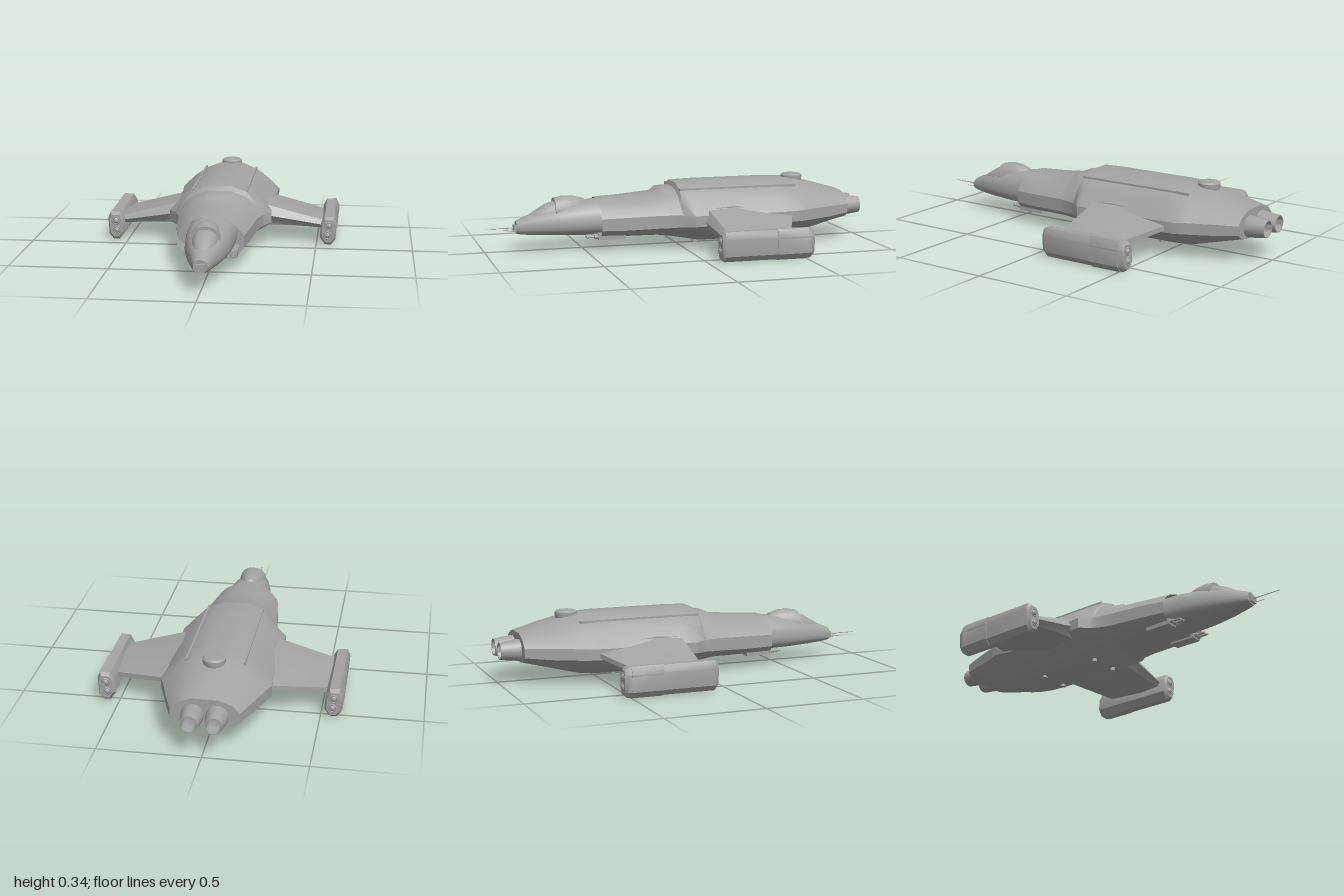
import * as THREE from 'three';
import { toCreasedNormals } from 'three/addons/utils/BufferGeometryUtils.js';

const hullGrey = new THREE.MeshStandardMaterial({ color: 0xa3a3a3, side: THREE.DoubleSide });
hullGrey.name = 'hull grey';

// Skin a list of equal-length rings of [x, y, z]; the ends may be capped
function loft(rings, { capStart = true, capEnd = true, crease = 0.6 } = {}) {
  const n = rings[0].length, pos = rings.flat(2), index = [];
  for (let i = 0; i < rings.length - 1; i++) {
    for (let j = 0; j < n; j++) {
      const a = i * n + j, b = i * n + (j + 1) % n;
      index.push(a, a + n, b, b, a + n, b + n);
    }
  }
  const last = (rings.length - 1) * n;
  for (let j = 1; j < n - 1; j++) {
    if (capStart) index.push(0, j, j + 1);
    if (capEnd) index.push(last, last + j + 1, last + j);
  }
  const g = new THREE.BufferGeometry();
  g.setAttribute('position', new THREE.Float32BufferAttribute(pos, 3));
  g.setIndex(index);
  return toCreasedNormals(g, crease);
}

// Mirror across x, keeping faces outward
function mirrored(geo) {
  const g = geo.index ? geo.toNonIndexed() : geo.clone();
  for (const name of ['position', 'normal']) {
    const a = g.attributes[name];
    for (let i = 0; i < a.count; i += 3) {
      const v = [0, 2, 1].map(k => [-a.getX(i + k), a.getY(i + k), a.getZ(i + k)]);
      v.forEach((p, k) => a.setXYZ(i + k, ...p));
    }
  }
  return g;
}

// Ellipse ring at z, flattened at the bottom by its own half height
function oval(z, hw, mid, up, down, n = 24) {
  return Array.from({ length: n }, (_, k) => {
    const t = k / n * Math.PI * 2, s = Math.sin(t), c = Math.cos(t);
    const x = Math.sign(c) * Math.abs(c) ** 0.85, y = Math.sign(s) * Math.abs(s) ** 0.85;
    return [hw * x, mid + (s > 0 ? up : down) * y, z];
  });
}

// Faceted hull ring from half-section points, bottom to top
function hullRing([z, hw, yTop, topX, shX, shY, sideTop, sideBot, bellyX, yBot]) {
  const half = [[bellyX, yBot], [(bellyX + hw) / 2 + 0.01, (yBot + sideBot) / 2 - 0.005],
    [hw, sideBot], [hw, sideTop], [(hw + shX) / 2, (sideTop + shY) / 2 + 0.008], [shX, shY], [topX, yTop]];
  return [...half.map(([x, y]) => [x, y, z]), ...half.reverse().map(([x, y]) => [-x, y, z])];
}

export function createModel() {
  const model = new THREE.Group();
  const add = (name, geo) => {
    const m = new THREE.Mesh(geo, hullGrey);
    m.name = name;
    model.add(m);
  };
  const pair = (name, geo) => {
    add(name + 'Left', geo);
    add(name + 'Right', mirrored(geo));
  };
  const rod = (x, y, z0, z1, r0, r1 = r0, sides = 16, open = false) =>
    new THREE.CylinderGeometry(r0, r1, z0 - z1, sides, 1, open).rotateX(Math.PI / 2).translate(x, y, (z0 + z1) / 2);
  const box = (w, h, d, x, y, z) => new THREE.BoxGeometry(w, h, d).translate(x, y, z);

  // Main hull, open at the front where the intakes sit
  add('hull', loft([
    [0.43, 0.165, 0.255, 0.05, 0.10, 0.235, 0.17, 0.11, 0.10, 0.068],
    [0.30, 0.185, 0.262, 0.05, 0.115, 0.24, 0.175, 0.11, 0.10, 0.068],
    [0.13, 0.20, 0.275, 0.06, 0.125, 0.25, 0.18, 0.115, 0.10, 0.066],
    [0.10, 0.205, 0.298, 0.06, 0.13, 0.262, 0.18, 0.115, 0.10, 0.063],
    [0.03, 0.225, 0.302, 0.06, 0.135, 0.275, 0.18, 0.12, 0.10, 0.052],
    [0.02, 0.23, 0.326, 0.06, 0.14, 0.298, 0.18, 0.12, 0.10, 0.05],
    [-0.03, 0.268, 0.328, 0.06, 0.14, 0.30, 0.18, 0.125, 0.095, 0.04],
    [-0.10, 0.262, 0.33, 0.06, 0.14, 0.30, 0.18, 0.125, 0.09, 0.026],
    [-0.50, 0.262, 0.33, 0.06, 0.14, 0.30, 0.18, 0.125, 0.09, 0.026],
    [-0.60, 0.27, 0.326, 0.06, 0.14, 0.295, 0.185, 0.13, 0.09, 0.034],
    [-0.65, 0.25, 0.316, 0.06, 0.135, 0.285, 0.187, 0.13, 0.09, 0.046],
    [-0.78, 0.208, 0.284, 0.06, 0.12, 0.26, 0.19, 0.135, 0.09, 0.08],
    [-0.90, 0.165, 0.25, 0.06, 0.105, 0.236, 0.19, 0.145, 0.085, 0.11],
  ].map(hullRing), { capStart: false }));
  // Wall at the back of the intakes
  add('intakeWall', loft([0.30, 0.28].map(z =>
    hullRing([z, 0.18, 0.258, 0.05, 0.11, 0.236, 0.173, 0.112, 0.098, 0.072]))));

  // Nose
  add('nose', loft([
    oval(0.84, 0.034, 0.12, 0.035, 0.028),
    oval(0.82, 0.042, 0.12, 0.045, 0.033),
    oval(0.77, 0.058, 0.125, 0.06, 0.043),
    oval(0.70, 0.082, 0.13, 0.076, 0.052),
    oval(0.58, 0.108, 0.135, 0.1, 0.062),
    oval(0.45, 0.12, 0.14, 0.112, 0.07),
    oval(0.25, 0.122, 0.14, 0.115, 0.07),
  ]));
  add('noseTip', box(0.048, 0.035, 0.02, 0, 0.118, 0.842));
  // Cockpit glass and the hood behind it
  add('canopy', loft([
    oval(0.78, 0.018, 0.16, 0.02, 0.02),
    oval(0.74, 0.044, 0.165, 0.04, 0.02),
    oval(0.69, 0.06, 0.17, 0.064, 0.02),
    oval(0.63, 0.066, 0.175, 0.08, 0.02),
    oval(0.58, 0.066, 0.18, 0.08, 0.02),
  ]));
  add('canopyHood', loft([
    oval(0.645, 0.074, 0.18, 0.085, 0.02),
    oval(0.60, 0.072, 0.18, 0.094, 0.02),
    oval(0.54, 0.06, 0.18, 0.091, 0.02),
    oval(0.49, 0.042, 0.18, 0.078, 0.02),
    oval(0.475, 0.025, 0.18, 0.06, 0.02),
  ]));
  // Probes on the nose
  add('probeMiddle', rod(0, 0.12, 1, 0.84, 0.0015, 0.003, 6));
  pair('probe', rod(0.018, 0.108, 0.9, 0.84, 0.0015, 0.002, 6));

  // Twin guns under each cheek
  pair('gunHousing', box(0.06, 0.032, 0.14, 0.102, 0.075, 0.37));
  for (const x of [0.09, 0.116]) {
    pair('gunBarrel', rod(x, 0.075, 0.5, 0.42, 0.006, 0.006, 10));
    pair('gunCollar', rod(x, 0.075, 0.46, 0.42, 0.011, 0.011, 10));
  }

  // Wings, thinning and drooping to the pods
  const wingRing = (x, front, back, top, bottom) => {
    const mid = (top + bottom) / 2, d = front - back;
    return [[x, mid, front], [x, top - 0.006, front - 0.06 * d], [x, top, front - 0.35 * d],
      [x, mid + 0.012, back], [x, mid - 0.012, back], [x, bottom, front - 0.4 * d], [x, bottom + 0.008, front - 0.06 * d]];
  };
  pair('wing', loft([
    wingRing(0.20, -0.075, -0.575, 0.222, 0.088),
    wingRing(0.26, -0.08, -0.55, 0.203, 0.095),
    wingRing(0.54, -0.105, -0.435, 0.128, 0.074),
  ], { crease: 0.5 }));
  // Raised root plates
  pair('wingRoot', loft([
    wingRing(0.215, -0.06, -0.55, 0.225, 0.15),
    wingRing(0.235, -0.09, -0.52, 0.216, 0.15),
  ]));

  // Wingtip pods, octagonal with bevelled ends
  const outline = [[0.545, 0.004], [0.578, 0.004], [0.601, 0.032], [0.607, 0.118],
    [0.592, 0.153], [0.543, 0.15], [0.525, 0.118], [0.518, 0.045]];
  const podRing = (z, s) => outline.map(([x, y]) => [0.562 + (x - 0.562) * s, 0.078 + (y - 0.078) * s, z]);
  pair('pod', loft([podRing(-0.062, 0.8), podRing(-0.078, 1), podRing(-0.52, 1), podRing(-0.538, 0.8)]));
  // Outer panel wraps round the rear of the pod
  pair('podPanel', loft([-0.345, -0.505].map(z => [[0.58, 0.001], [0.605, 0.032],
    [0.611, 0.118], [0.594, 0.156], [0.575, 0.15], [0.575, 0.01]].map(p => [...p, z]))));
  pair('podPanelRib', box(0.006, 0.008, 0.16, 0.609, 0.112, -0.425));
  for (const [x, y] of [[0.564, 0.106], [0.558, 0.056]]) {
    for (const z of [-0.062, -0.538]) {
      pair('podTubeRim', new THREE.TorusGeometry(0.018, 0.004, 8, 20).translate(x, y, z));
      pair('podTubeLens', new THREE.SphereGeometry(0.015, 16, 8).scale(1, 1, 0.6).translate(x, y, z));
    }
  }

  // Rails along the back
  pair('backRail', box(0.01, 0.014, 0.63, 0.14, 0.298, -0.295));
  // Dorsal dome
  add('dorsalDome', toCreasedNormals(new THREE.LatheGeometry(
    [[0.052, 0.30], [0.056, 0.322], [0.056, 0.335], [0.046, 0.343], [0, 0.345]]
      .map(p => new THREE.Vector2(...p)), 24), 0.6).translate(0, 0, -0.64));

  // Engine nozzles, hollow, with a disc inside
  pair('nozzle', toCreasedNormals(new THREE.LatheGeometry(
    [[0.056, 0.86], [0.054, 0.91], [0.043, 1], [0.038, 1], [0.034, 0.94], [0, 0.93]]
      .map(p => new THREE.Vector2(...p)), 24), 0.6).rotateX(-Math.PI / 2).translate(0.058, 0.168, 0));

  // Belly studs
  for (const z of [-0.08, -0.42]) pair('bellyStud', rod(0, 0, 0.01, -0.01, 0.014).rotateX(Math.PI / 2).translate(0.075, 0.024, z));
  return model;
}
